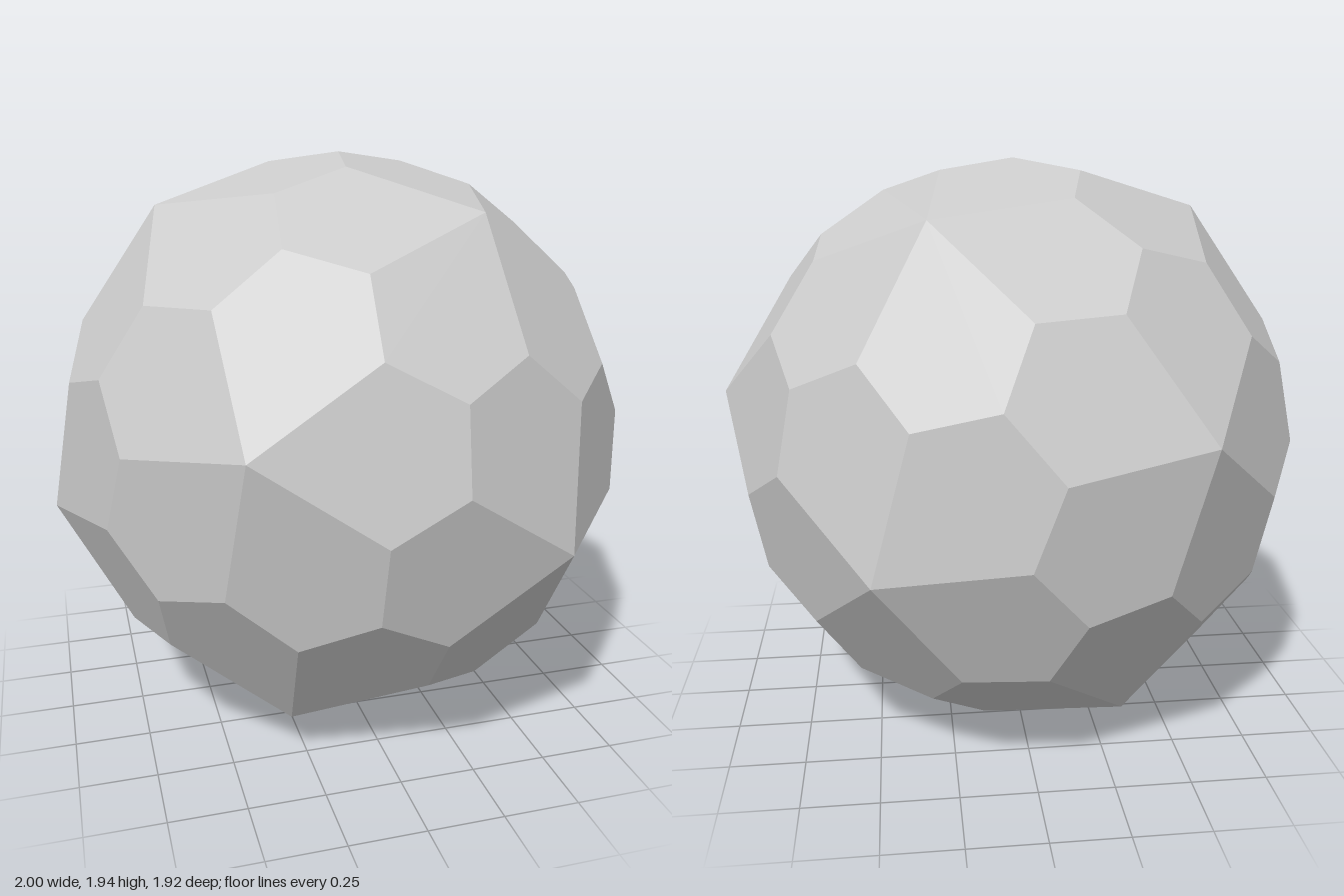
import * as THREE from 'three';

const R3 = 0.97093; // radius of the three-way corners, and height of the centre

// Twelve five-way corners: an icosahedron standing on a three-fold axis
function fiveWayCorners() {
  const corners = [];
  for (let i = 0; i < 3; i++) {
    const a = (i * Math.PI * 2) / 3;
    const c = Math.cos(a), s = Math.sin(a);
    const upper = new THREE.Vector3(c, 0.19098, s);
    const top = new THREE.Vector3(-0.61803 * c, 0.80902, -0.61803 * s);
    corners.push(upper, top, upper.clone().negate(), top.clone().negate());
  }
  return corners;
}

// Local axes of the icosahedron edge p -> q: outward, along, and to the right
function edgeFrame(p, q) {
  const out = p.clone().add(q).normalize();
  const along = q.clone().sub(p).normalize();
  const right = along.clone().cross(out);
  return { out, along, right };
}

// Twisted three-way corner beside the edge p -> q, nearer to p
function twistCorner(p, q) {
  const { out, along, right } = edgeFrame(p, q);
  return out.multiplyScalar(0.96169)
    .addScaledVector(along, -0.0885)
    .addScaledVector(right, 0.10017);
}

export function createModel() {
  const corners = fiveWayCorners();
  const near = (a, b) => a !== b && a.distanceTo(b) < 1.1;
  const positions = [];

  // One pentagon for every directed edge p -> q: sixty in all
  for (const p of corners) {
    for (const q of corners.filter((v) => near(p, v))) {
      const { right } = edgeFrame(p, q);
      const c = corners.find((v) => near(p, v) && near(q, v) && v.dot(right) > 0);
      const centre = p.clone().add(q).add(c).setLength(R3);
      const face = [p, twistCorner(p, c), twistCorner(c, p), centre, twistCorner(p, q)];
      for (let i = 1; i < 4; i++) {
        for (const v of [face[0], face[i], face[i + 1]]) positions.push(v.x, v.y, v.z);
      }
    }
  }

  const geometry = new THREE.BufferGeometry();
  geometry.setAttribute('position', new THREE.Float32BufferAttribute(positions, 3));
  geometry.computeVertexNormals();

  const solid = new THREE.Mesh(
    geometry,
    new THREE.MeshStandardMaterial({ color: 0xcccccc, flatShading: true })
  );
  solid.name = 'pentagonalHexecontahedron';
  solid.position.y = R3;

  const group = new THREE.Group();
  group.name = 'facetedBall';
  group.add(solid);
  return group;
}
